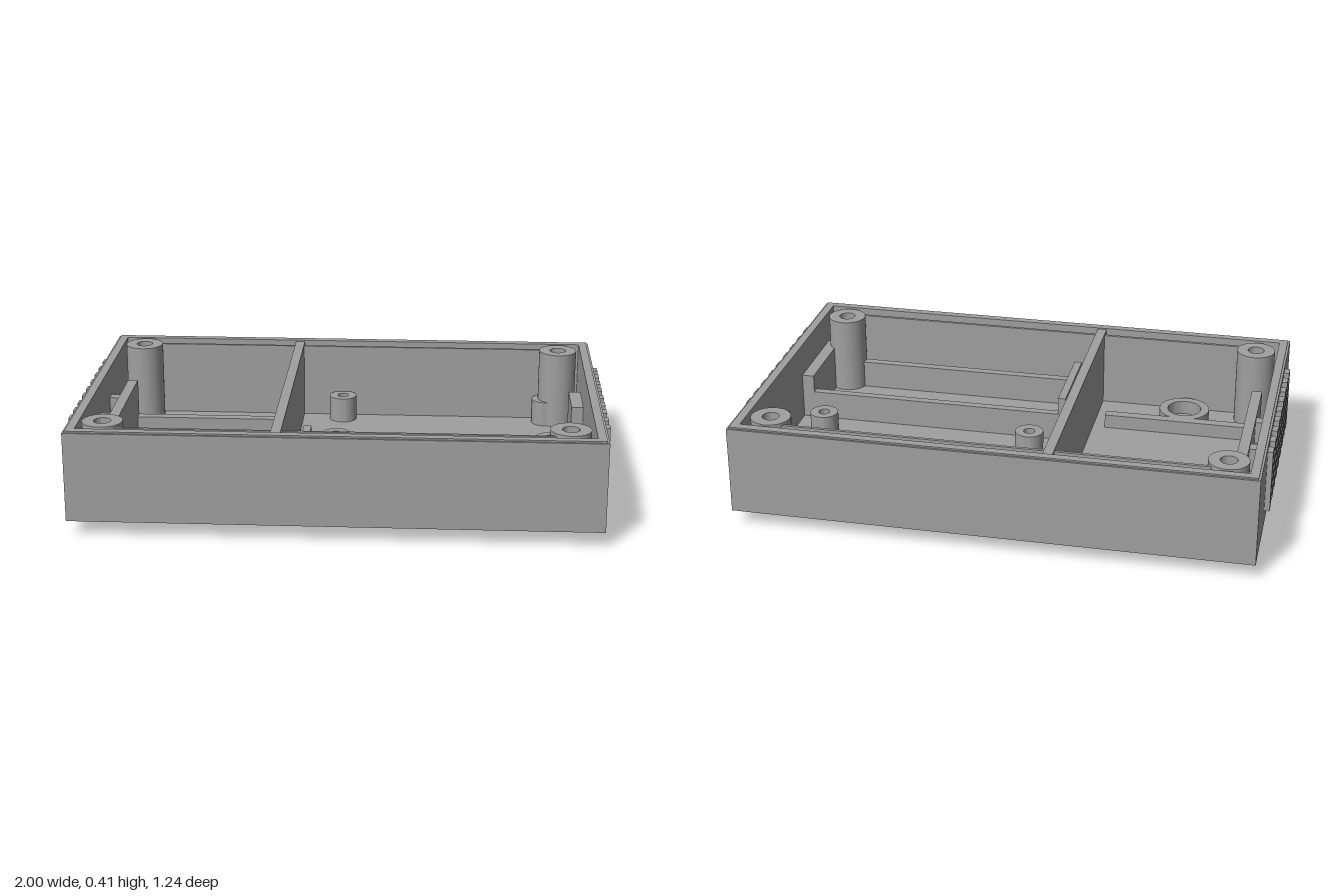
import * as THREE from 'three';
import { toCreasedNormals } from 'three/addons/utils/BufferGeometryUtils.js';

const FLOOR = 0.1, RIM = 0.405, BASE = 0.06;

export function createModel() {
  const model = new THREE.Group();
  const grey = new THREE.MeshStandardMaterial({ color: 0xa0a0a0 });
  grey.name = 'grey plastic';

  const add = (name, geometry) => {
    const mesh = new THREE.Mesh(geometry, grey);
    mesh.name = name;
    model.add(mesh);
    return mesh;
  };
  // Box given by its limits on each axis
  const box = (name, x0, x1, y0, y1, z0, z1) =>
    add(name, new THREE.BoxGeometry(x1 - x0, y1 - y0, z1 - z0))
      .position.set((x0 + x1) / 2, (y0 + y1) / 2, (z0 + z1) / 2);
  // Round part turned from a profile, with sharp rims
  const turned = (name, x, z, profile) => {
    const points = profile.map(([r, y]) => new THREE.Vector2(r, y));
    add(name, toCreasedNormals(new THREE.LatheGeometry(points, 40), 0.6)).position.set(x, 0, z);
  };
  const tube = (name, x, z, outer, inner, top) =>
    turned(name, x, z, [[outer, FLOOR], [outer, top], [inner, top], [inner, FLOOR]]);
  // Rectangular wall frame with a rectangular opening
  const frame = (name, w, d, y0, y1) => {
    const shape = new THREE.Shape([[-w, -d], [w, -d], [w, d], [-w, d]].map(p => new THREE.Vector2(...p)));
    const hole = [[-0.94, -0.58], [-0.94, 0.58], [0.94, 0.58], [0.94, -0.58]];
    shape.holes.push(new THREE.Path(hole.map(p => new THREE.Vector2(...p))));
    const g = new THREE.ExtrudeGeometry(shape, { depth: y1 - y0, bevelEnabled: false });
    g.rotateX(-Math.PI / 2);
    add(name, g).position.y = y0;
  };

  // Open case: floor, walls and a slightly inset rim
  box('floor', -0.98, 0.98, BASE, FLOOR, -0.62, 0.62);
  frame('walls', 0.98, 0.62, FLOOR, 0.399);
  frame('rim', 0.972, 0.612, 0.399, RIM);
  box('divider', -0.232, -0.195, FLOOR, 0.4, -0.585, 0.585);

  // Corner screw posts and thin inner walls joining them to the divider
  for (const z of [-0.493, 0.487]) {
    for (const x of [-0.855, 0.85]) tube('screwPost', x, z, 0.075, 0.032, RIM);
    const rail = Math.sign(z) * 0.535;
    box('innerWall', -0.8, -0.23, FLOOR, 0.395, rail - 0.006, rail + 0.006);
    box('innerWall', -0.197, 0.795, FLOOR, 0.395, rail - 0.006, rail + 0.006);
  }

  // Board standoffs
  for (const x of [-0.03, 0.805]) {
    for (const z of [-0.482, -0.008]) tube('standoff', x, z, 0.055, 0.022, 0.2);
  }

  // U-shaped bracket in the small bay
  box('bracketBack', -0.9, -0.86, FLOOR, 0.3, -0.325, 0.325);
  box('bracketArm', -0.86, -0.28, FLOOR, 0.155, -0.325, -0.285);
  box('bracketArm', -0.86, -0.28, FLOOR, 0.155, 0.285, 0.325);
  tube('ringSeat', -0.585, 0.412, 0.1, 0.067, 0.155);

  // Supports between the bracket and the end wall
  box('bracketSupport', -0.942, -0.898, FLOOR, 0.2, -0.235, 0.18);
  for (const z of [-0.143, 0.087]) box('supportRib', -0.942, -0.898, FLOOR, 0.29, z - 0.022, z + 0.022);

  // Tray in the large bay
  box('traySide', -0.145, 0.935, FLOOR, 0.21, 0.14, 0.172);
  box('traySide', -0.145, 0.935, FLOOR, 0.21, 0.465, 0.5);
  box('trayEnd', -0.145, -0.115, FLOOR, 0.28, 0.14, 0.5);
  box('trayEnd', 0.893, 0.942, FLOOR, 0.28, 0.14, 0.5);
  box('wallBlock', 0.893, 0.942, FLOOR, 0.27, -0.365, -0.165);

  // Raised ribs on both end walls, and feet brackets underneath
  for (const s of [-1, 1]) {
    const mirrored = (name, a, b, ...rest) => box(name, Math.min(s * a, s * b), Math.max(s * a, s * b), ...rest);
    for (let i = 0; i < 9; i++) {
      const z = 0.371 - i * 0.0872;
      mirrored('endRib', 0.97, 1, 0.136, 0.378, z - 0.022, z + 0.022);
    }
    mirrored('footBar', 0.465, 0.525, 0, BASE, -0.405, 0.405);
    mirrored('footArm', 0.19, 0.465, 0, BASE, -0.405, -0.345);
    mirrored('footArm', 0.19, 0.465, 0, BASE, 0.345, 0.405);
  }

  // Round boss with a blind hole under the floor
  turned('bottomBoss', 0, 0, [[0, 0.059], [0.043, 0.059], [0.043, 0], [0.13, 0], [0.13, BASE]]);

  return model;
}
